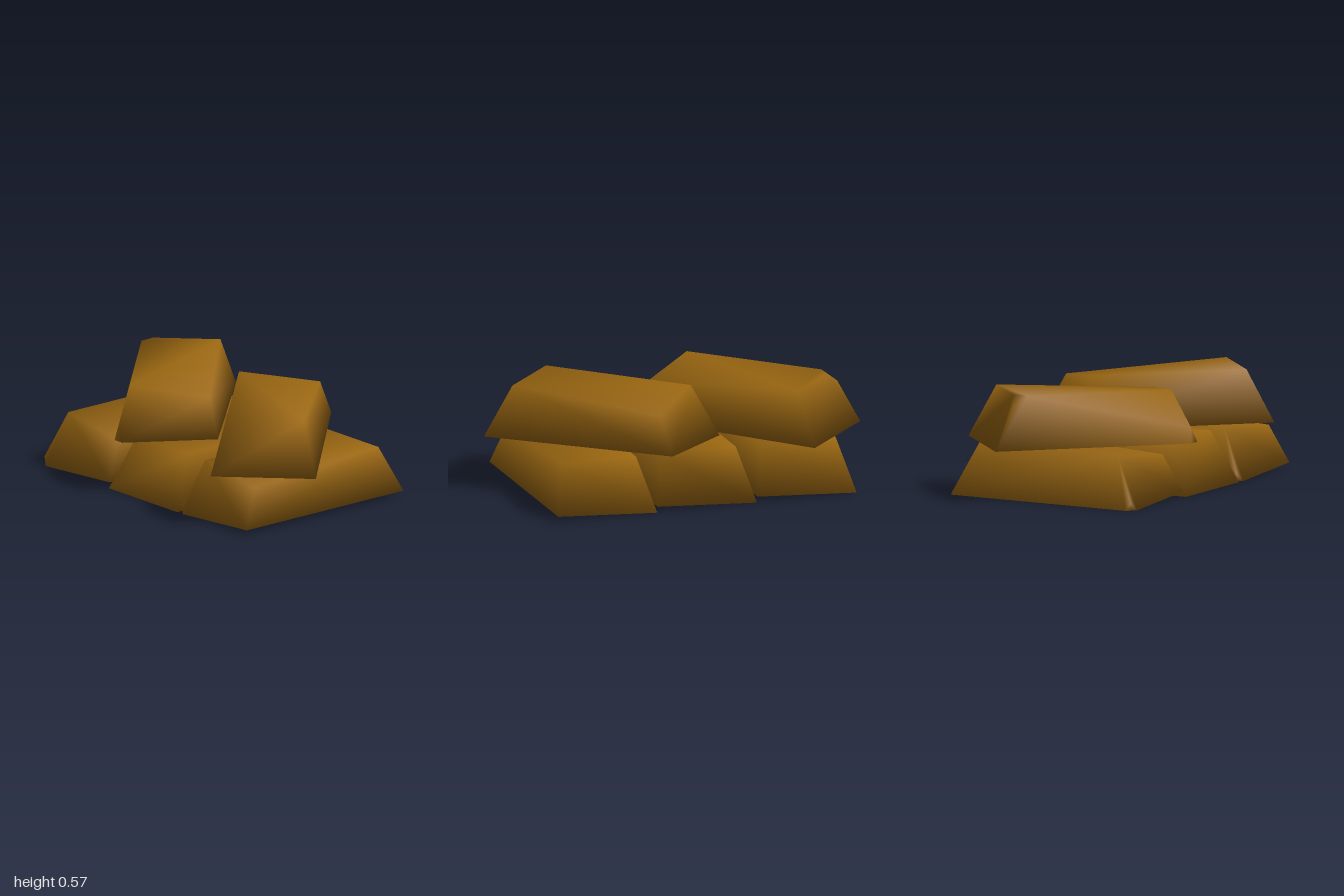
import * as THREE from 'three';
import { mergeVertices } from 'three/addons/utils/BufferGeometryUtils.js';
import { ConvexGeometry } from 'three/addons/geometries/ConvexGeometry.js';

const HEIGHT = 0.283;
const BASE = [0.283, 0.565]; // half width, half length
const TOP = [0.21, 0.43];

const corner = (sx, sy, sz) => {
  const [w, l] = sy > 0 ? TOP : BASE;
  return new THREE.Vector3(sx * w, sy > 0 ? HEIGHT : 0, sz * l);
};

// Tapered ingot. A chip 'sx,sy,sz' slides that corner along its upright edge
// (number) or bevels it along all three edges ([x, y, z] fractions).
function ingotGeometry(chips) {
  const points = [];
  for (const sx of [-1, 1]) for (const sy of [-1, 1]) for (const sz of [-1, 1]) {
    const p = corner(sx, sy, sz);
    const chip = chips[`${sx},${sy},${sz}`];
    if (Array.isArray(chip)) {
      points.push(p.clone().lerp(corner(-sx, sy, sz), chip[0]));
      points.push(p.clone().lerp(corner(sx, -sy, sz), chip[1]));
      points.push(p.clone().lerp(corner(sx, sy, -sz), chip[2]));
    } else {
      points.push(chip ? p.lerp(corner(sx, -sy, sz), chip) : p);
    }
  }
  // Shared vertices give the soft, worn shading
  const hull = new ConvexGeometry(points);
  hull.deleteAttribute('normal');
  const geometry = mergeVertices(hull, 1e-4);
  geometry.computeVertexNormals();
  return geometry;
}

export function createModel() {
  const group = new THREE.Group();
  const gold = new THREE.MeshStandardMaterial({ color: 0x996611 });
  gold.name = 'gold';

  const addIngot = (name, x, y, turn, chips) => {
    const mesh = new THREE.Mesh(ingotGeometry(chips), gold);
    mesh.name = name;
    mesh.position.set(x, y, 0);
    mesh.rotation.y = turn;
    group.add(mesh);
  };

  // Bottom row of three, side by side
  const outerChips = { '1,1,1': 0.18, '1,-1,1': 0.1, '-1,-1,1': [0.08, 0.15, 0.04], '1,-1,-1': 0.1 };
  addIngot('lowerRightIngot', -0.567, 0, 0, outerChips);
  addIngot('lowerMiddleIngot', 0, 0, 0, { '1,-1,-1': 0.1 });
  addIngot('lowerLeftIngot', 0.567, 0, 0, outerChips);

  // Two laid diagonally on top
  addIngot('upperRightIngot', -0.4, HEIGHT, Math.PI / 4, {
    '1,1,1': 0.19, '1,-1,1': 0.1, '-1,-1,1': [0.08, 0.3, 0.04], '-1,1,-1': [0.14, 0.19, 0.07],
  });
  addIngot('upperLeftIngot', 0.4, HEIGHT, Math.PI / 4, { '1,1,-1': 0.19, '1,-1,-1': 0.1 });
  return group;
}
